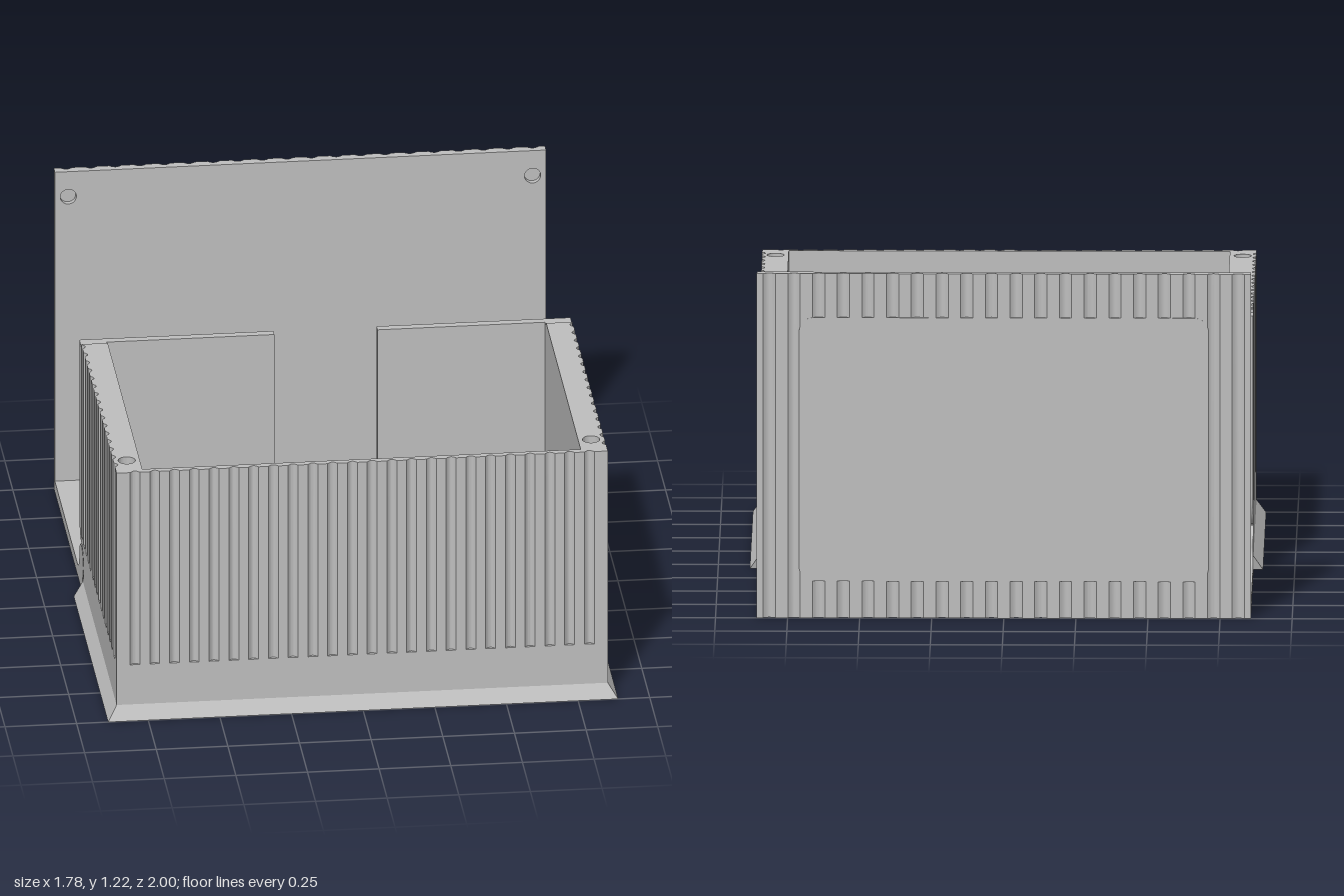
import * as THREE from 'three';
import { toCreasedNormals } from 'three/addons/utils/BufferGeometryUtils.js';
import { ConvexGeometry } from 'three/addons/geometries/ConvexGeometry.js';

const W = 0.857, INNER = 0.765, KNUCKLE_X = 0.8;   // half widths
const FRONT = 0.97, REAR = -0.2, STEP = -0.135;    // z of box walls
const FLOOR = 0.11, BAND = 0.2, TOP = 0.93;        // heights
const HZ = -0.137, HY = 0.105, HR = 0.062;         // hinge axis and radius

export function createModel() {
  const group = new THREE.Group();
  const grey = new THREE.MeshStandardMaterial({ color: 0xbfbfbf });
  grey.name = 'light grey';

  const add = (name, geometry, parent = group) => {
    const mesh = new THREE.Mesh(geometry, grey);
    mesh.name = name;
    parent.add(mesh);
    return mesh;
  };
  const block = (name, x0, x1, y0, y1, z0, z1, parent) => {
    const g = new THREE.BoxGeometry(x1 - x0, y1 - y0, z1 - z0);
    g.translate((x0 + x1) / 2, (y0 + y1) / 2, (z0 + z1) / 2);
    return add(name, g, parent);
  };
  const toShape = (pts) => new THREE.Shape(pts.map(([a, b]) => new THREE.Vector2(a, b)));
  const extrude = (shape, depth) => toCreasedNormals(
    new THREE.ExtrudeGeometry(shape, { depth, bevelEnabled: false, curveSegments: 16 }), 0.6);
  // profile of [z, y] points swept from x0 to x1
  const sweepX = (pts, x0, x1) => extrude(toShape(pts.map(([z, y]) => [-z, y])), x1 - x0)
    .rotateY(Math.PI / 2).translate(x0, 0, 0);
  // plan of [x, z] points raised from y0 to y1, with round holes
  const raiseY = (pts, y0, y1, holes = [], r = 0.03) => {
    const s = toShape(pts.map(([x, z]) => [x, -z]));
    holes.forEach(([x, z]) => s.holes.push(new THREE.Path().absarc(x, -z, r, 0, Math.PI * 2, true)));
    return extrude(s, y1 - y0).rotateX(-Math.PI / 2).translate(0, y0, 0);
  };
  const arc = (cz, cy, r, from, to, n = 14) => Array.from({ length: n + 1 }, (_, i) => {
    const a = THREE.MathUtils.degToRad(from + (to - from) * i / n);
    return [cz + r * Math.cos(a), cy + r * Math.sin(a)];
  });
  // row of n shallow round grooves between two points, cut along the inward vector
  const flutes = (a, b, n, inward, depth = 0.012) => {
    const pts = [], gaps = n - 0.5;
    for (let i = 0; i < n; i++) {
      for (let k = 0; k <= 6; k++) {
        const t = (i + k / 12) / gaps, d = depth * Math.sin(Math.PI * k / 6);
        pts.push([a[0] + (b[0] - a[0]) * t + inward[0] * d, a[1] + (b[1] - a[1]) * t + inward[1] * d]);
      }
    }
    return pts;
  };

  // Box: fluted walls, open to the rear, with blind screw holes
  const box = new THREE.Group();
  box.name = 'box';
  group.add(box);
  add('flutedWalls', raiseY([
    [-W, STEP], ...flutes([-W, -0.13], [-W, 0.915], 16, [1, 0]), [-W, FRONT],
    ...flutes([-0.81, FRONT], [0.81, FRONT], 24, [0, -1]), [W, FRONT],
    ...flutes([W, 0.915], [W, -0.13], 16, [-1, 0]), [W, STEP],
    [INNER, STEP], [INNER, 0.945], [-INNER, 0.945], [-INNER, STEP],
  ], BAND, TOP, [[-0.81, 0.865], [0.81, 0.865]]), box);

  // Floor with a rear edge hollowed and rounded around the hinge
  add('floor', sweepX([
    [FRONT, 0], [-0.077, 0], [-0.09, 0.05],
    ...arc(HZ, HY, HR, 300, 180, 8), [REAR, FLOOR], [FRONT, FLOOR],
  ], -KNUCKLE_X, KNUCKLE_X), box);
  block('frontLowerWall', -KNUCKLE_X, KNUCKLE_X, FLOOR, BAND, 0.945, FRONT, box);

  // Plain lower side walls with the hinge notch, plus stepped rear corners
  const sideProfile = [
    [FRONT, 0], [-0.077, 0], [-0.092, 0.045], ...arc(HZ, HY, 0.073, 310, 460),
    [-0.17, 0.19], [-0.188, 0.215], [-0.198, 0.255], [REAR, 0.29],
    [REAR, 0.918], [STEP, 0.918], [STEP, BAND], [FRONT, BAND],
  ].map(([z, y]) => [z, y]);
  for (const s of [-1, 1]) {
    const span = (a, b) => (s > 0 ? [a, b] : [-b, -a]);
    add('sideLowerWall', sweepX(sideProfile, ...span(KNUCKLE_X, W)), box);
    block('sideInnerWall', ...span(INNER, KNUCKLE_X), FLOOR, BAND, -0.17, 0.945, box);
    block('rearCorner', ...span(INNER, KNUCKLE_X), BAND, 0.918, -0.17, STEP, box);
  }

  // Rear wall with a round-bottomed cable slot
  const rear = new THREE.Shape();
  rear.moveTo(-KNUCKLE_X, HY);
  rear.lineTo(KNUCKLE_X, HY);
  rear.lineTo(KNUCKLE_X, 0.918);
  rear.lineTo(0.18, 0.918);
  rear.lineTo(0.18, 0.29);
  rear.absarc(0, 0.29, 0.18, 0, Math.PI, true);
  rear.lineTo(-0.18, 0.918);
  rear.lineTo(-KNUCKLE_X, 0.918);
  add('rearWall', extrude(rear, 0.03).translate(0, 0, REAR), box);

  // Sloped skirt along the front and sides
  const skirt = [];
  for (const s of [-1, 1]) {
    skirt.push(new THREE.Vector3(s * 0.89, 0, -0.077), new THREE.Vector3(s * 0.89, 0, 1),
      new THREE.Vector3(s * W, 0.05, -0.09), new THREE.Vector3(s * W, 0.05, FRONT));
  }
  add('skirt', new ConvexGeometry(skirt), box);

  // Hinged lid: plate, two knuckles and an upright panel
  const lid = new THREE.Group();
  lid.name = 'lid';
  group.add(lid);
  block('lidPlate', -W, W, 0, 0.042, -0.97, -0.085, lid);
  const knuckle = [
    [-0.085, 0.03], [-0.096, 0.058], ...arc(HZ, HY, HR, -45, 180),
    ...arc(-0.259, 0.102, 0.06, 0, -90, 8), [-0.259, 0.03],
  ];
  add('rightKnuckle', sweepX(knuckle, -W, -KNUCKLE_X), lid);
  add('leftKnuckle', sweepX(knuckle, KNUCKLE_X, W), lid);

  // Panel face with blind screw holes, backed by a fluted layer
  const H = 1.215;
  const face = toShape([[-W, 0], [W, 0], [W, H], [-W, H]]);
  for (const x of [-0.81, 0.81]) {
    face.holes.push(new THREE.Path().absarc(x, 1.12, 0.028, 0, Math.PI * 2, true));
  }
  add('panelFace', extrude(face, 0.02).translate(0, 0, -0.985), lid);
  add('panelFlutes', raiseY([
    [-W, -0.985], [-W, -1], ...flutes([-0.835, -1], [0.835, -1], 20, [0, 1]), [W, -1], [W, -0.985],
  ], 0, H), lid);

  // Smooth rounded label area on the back of the panel
  const px = 0.71, y0 = 0.13, y1 = 1.06, r = 0.05;
  const pad = new THREE.Shape();
  pad.absarc(px - r, y0 + r, r, -Math.PI / 2, 0);
  pad.absarc(px - r, y1 - r, r, 0, Math.PI / 2);
  pad.absarc(-px + r, y1 - r, r, Math.PI / 2, Math.PI);
  pad.absarc(-px + r, y0 + r, r, Math.PI, Math.PI * 1.5);
  add('smoothPad', extrude(pad, 0.014).translate(0, 0, -1.001), lid);

  return group;
}
